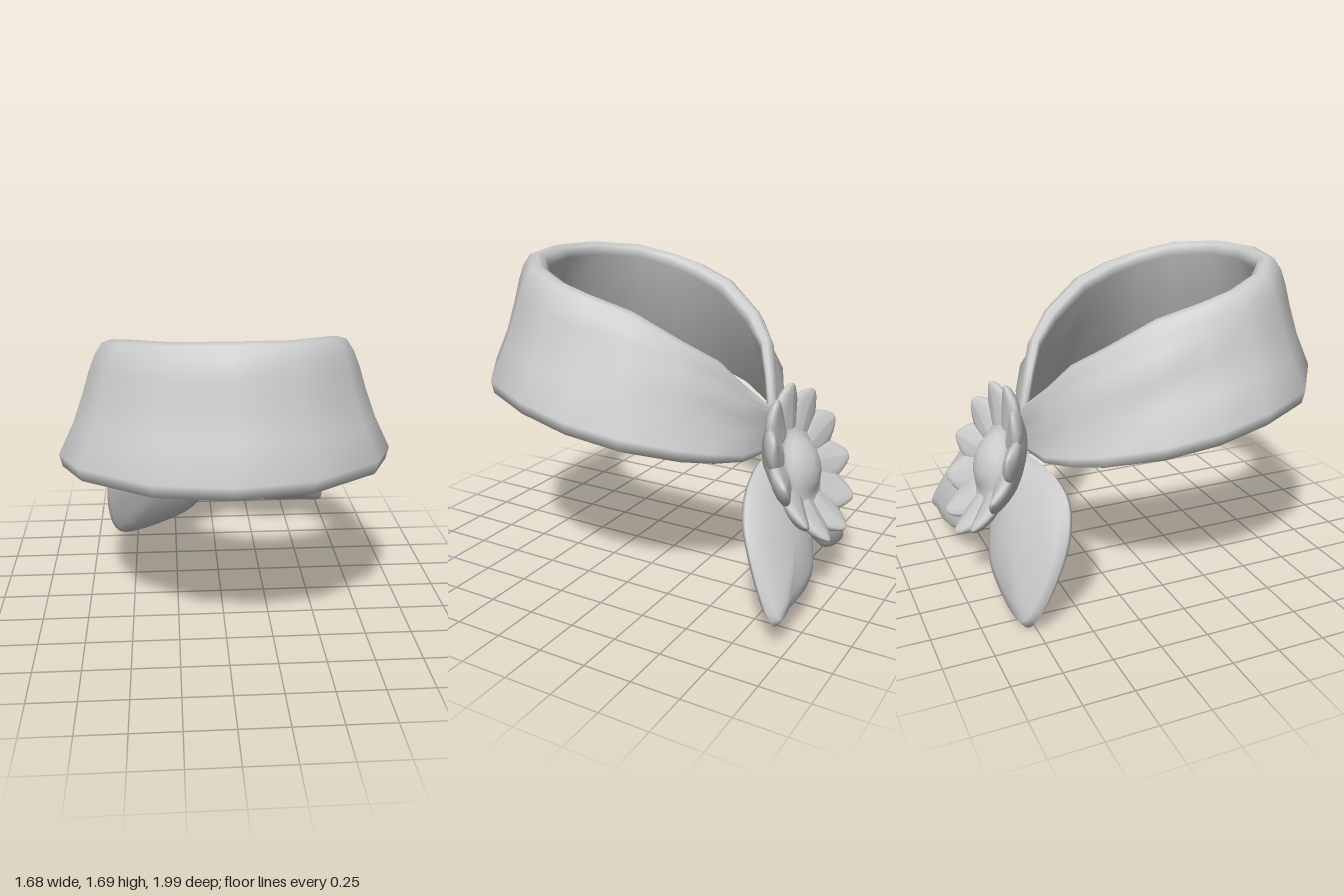
import * as THREE from 'three';
import { mergeVertices } from 'three/addons/utils/BufferGeometryUtils.js';

// Smooth surface from closed loops of stations; each station is a list of Vector3
function skin(rings, closeSection) {
  const n = rings.length, m = rings[0].length, index = [];
  for (let i = 0; i < n; i++) {
    for (let j = 0; j < (closeSection ? m : m - 1); j++) {
      const i2 = (i + 1) % n, j2 = (j + 1) % m;
      const a = i * m + j, b = i * m + j2, c = i2 * m + j, d = i2 * m + j2;
      index.push(a, b, c, b, d, c);
    }
  }
  let g = new THREE.BufferGeometry().setFromPoints(rings.flat());
  g.setIndex(index);
  g = mergeVertices(g, 1e-4);
  g.computeVertexNormals();
  return g;
}

// Collar: lower edge (x, z, y), upper inner edge (x, z, y), thickness, fold depth
const stations = [
  [0, -0.6, 0.7, 0, -0.56, 0.94, 0.35, 0],
  [0.3, -0.575, 0.72, 0.13, -0.48, 1.09, 0.55, 0.02],
  [0.47, -0.49, 0.745, 0.24, -0.4, 1.23, 0.75, 0.03],
  [0.6, -0.37, 0.77, 0.36, -0.26, 1.34, 0.9, 0.025],
  [0.77, -0.13, 0.83, 0.45, -0.05, 1.48, 1, 0.015],
  [0.84, 0.13, 0.89, 0.5, 0.15, 1.55, 1, 0],
  [0.83, 0.4, 0.95, 0.5, 0.31, 1.6, 1, 0],
  [0.71, 0.68, 0.985, 0.43, 0.48, 1.65, 1, 0],
  [0.37, 0.93, 1, 0.24, 0.64, 1.68, 1, 0],
  [0, 0.99, 1, 0, 0.68, 1.69, 1, 0],
];

function collarSection([bx, bz, by, tx, tz, ty, k, fold]) {
  const out = new THREE.Vector3(bx - tx, 0, bz - tz).normalize();
  const at = (x, y, z, o) => new THREE.Vector3(x, y, z).addScaledVector(out, o);
  const low = at(bx, by + 0.09 * k, bz, 0);
  const high = at(tx, ty - 0.07 * k, tz, 0.14 * k);
  const inHigh = at(tx, ty - 0.07 * k, tz, 0);
  const inLow = at(bx, by + 0.03 * k, bz, -0.11 * k);
  const wall = (f, o) => low.clone().lerp(high, f).addScaledVector(out, o);
  return [
    at(bx, by, bz, -0.07 * k),
    at(bx, by + 0.025 * k, bz, -0.015 * k),
    low,
    wall(0.33, -fold - 0.015 * k),
    wall(0.62, fold - 0.01 * k),
    wall(0.85, -fold * 0.5),
    high,
    at(tx, ty - 0.01 * k, tz, 0.1 * k),
    at(tx, ty, tz, 0.06 * k),
    at(tx, ty - 0.02 * k, tz, 0.02 * k),
    inHigh,
    inHigh.clone().lerp(inLow, 0.5),
    inLow,
  ];
}

function collarGeometry() {
  const half = stations.map(collarSection);
  const mirrored = half.slice(1, -1).reverse()
    .map((s) => s.map((p) => new THREE.Vector3(-p.x, p.y, p.z)));
  return skin([...half, ...mirrored], true);
}

// Puffy leaf: outline in x and y, lying along the sloping plane zAt
function leafGeometry(outline, cx, cy, depth, zAt) {
  const curve = new THREE.CatmullRomCurve3(
    outline.map(([x, y]) => new THREE.Vector3(x, y, 0)), true, 'centripetal');
  let pts = curve.getPoints(36).slice(0, -1);
  if (THREE.ShapeUtils.area(pts) < 0) pts = pts.reverse();
  const profile = [[0, 1], [0.35, 0.92], [0.7, 0.68], [0.92, 0.35], [1, 0],
    [0.92, -0.35], [0.7, -0.68], [0.35, -0.92], [0, -1]];
  return skin(pts.map((p) => profile.map(([s, h]) => {
    const x = cx + (p.x - cx) * s, y = cy + (p.y - cy) * s;
    return new THREE.Vector3(x, y, zAt(x, y) + h * depth);
  })), false);
}

// Pointed petal lying along +x
function petalGeometry() {
  const g = new THREE.SphereGeometry(1, 12, 10);
  g.rotateZ(-Math.PI / 2);
  const p = g.attributes.position;
  for (let i = 0; i < p.count; i++) {
    const x = p.getX(i);
    const taper = x > 0.2 ? 1 - 0.4 * (x - 0.2) : 1;
    p.setXYZ(i, x * 0.135, p.getY(i) * 0.04 + 0.03 * x * x, p.getZ(i) * 0.115 * taper);
  }
  g.computeVertexNormals();
  return g;
}

export function createModel() {
  const model = new THREE.Group();
  const cloth = new THREE.MeshStandardMaterial({ color: 0xcccccc });
  cloth.name = 'light grey';
  const add = (parent, name, geometry) => {
    const mesh = new THREE.Mesh(geometry, cloth);
    mesh.name = name;
    parent.add(mesh);
    return mesh;
  };

  add(model, 'collar', collarGeometry());

  // Two leaves hanging below the knot
  add(model, 'rightLeaf', leafGeometry([
    [0, 0.69], [-0.2, 0.72], [-0.43, 0.69], [-0.57, 0.62], [-0.66, 0.47], [-0.68, 0.27],
    [-0.65, 0.07], [-0.6, 0.01], [-0.5, 0.01], [-0.28, 0.08], [-0.15, 0.15], [-0.05, 0.28], [0, 0.42],
  ], -0.36, 0.37, 0.095, (x, y) => -0.92 - 0.21 * x + 0.4 * y));
  add(model, 'leftLeaf', leafGeometry([
    [0, 0.69], [0.2, 0.73], [0.4, 0.68], [0.53, 0.61], [0.62, 0.52], [0.7, 0.35],
    [0.74, 0.17], [0.72, 0.135], [0.6, 0.145], [0.38, 0.15], [0.23, 0.19], [0.12, 0.28], [0.02, 0.42],
  ], 0.36, 0.42, 0.09, (x, y) => -0.65 - (0.7 - y) * 0.53));

  // Flower facing back and slightly up, its axis along local y
  const flower = new THREE.Group();
  flower.name = 'flower';
  flower.position.set(0.01, 0.65, -0.73);
  flower.rotation.x = -Math.atan2(0.92, 0.39);
  model.add(flower);

  const cup = [[0, -0.09], [0.15, -0.085], [0.25, -0.045], [0.32, 0.015], [0.345, 0.05],
    [0.335, 0.075], [0.27, 0.06], [0.21, 0.045], [0.175, 0.05], [0.145, 0.07], [0.11, 0.095],
    [0.06, 0.115], [0, 0.122]];
  add(flower, 'flowerCup',
    new THREE.LatheGeometry(cup.map(([r, y]) => new THREE.Vector2(r, y)), 33));

  const petal = petalGeometry(), count = 11;
  for (let i = 0; i < count; i++) {
    const arm = new THREE.Group();
    arm.rotation.y = ((i + 0.08) / count) * Math.PI * 2;
    flower.add(arm);
    const mesh = add(arm, 'petal', petal);
    mesh.position.set(0.3, 0.045, 0);
    mesh.rotation.z = 0.36;
  }
  return model;
}
